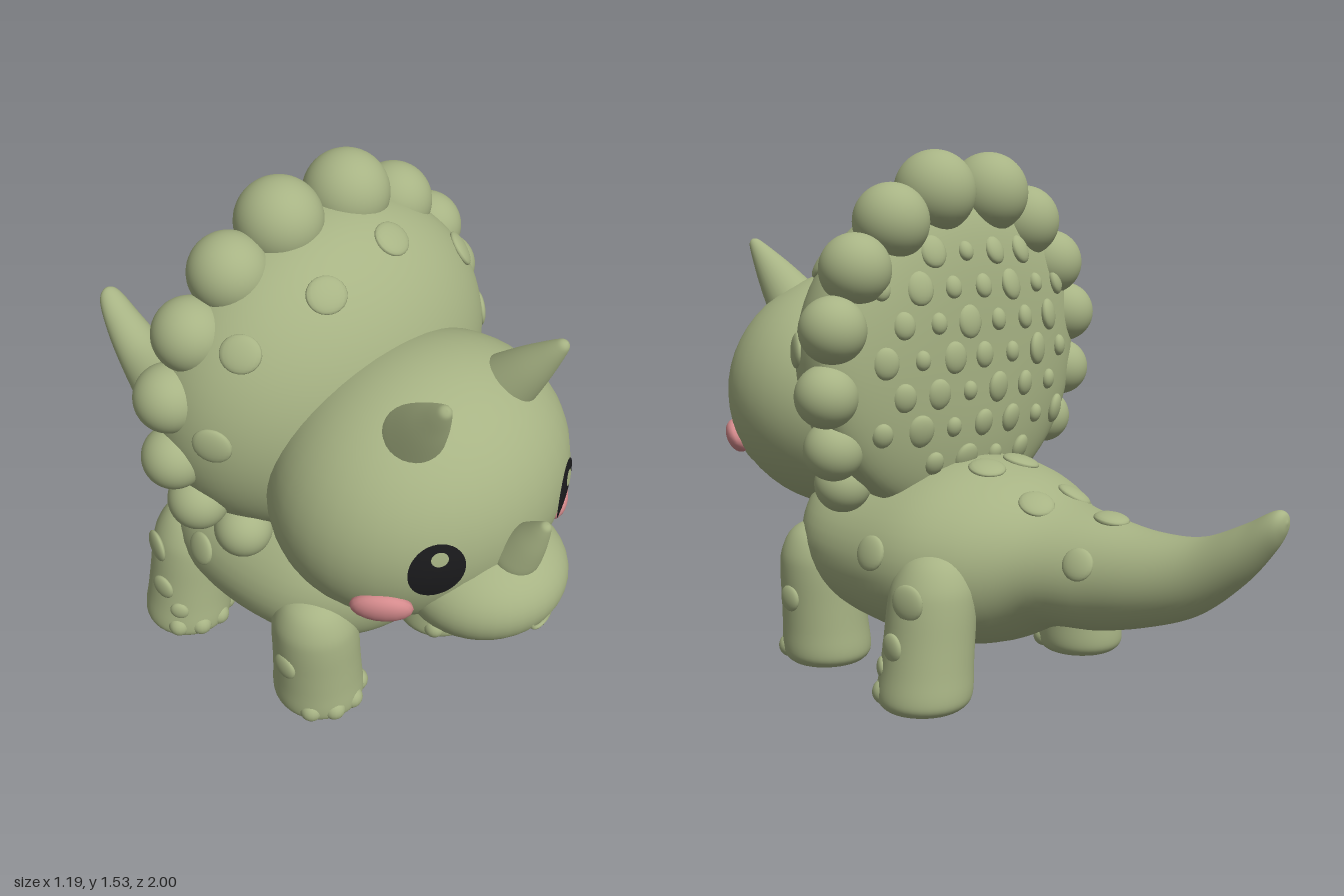
import * as THREE from 'three';
import { mergeVertices } from 'three/addons/utils/BufferGeometryUtils.js';

const V = (x, y, z) => new THREE.Vector3(x, y, z);

export function createModel() {
  const root = new THREE.Group();
  const material = (name, color) => {
    const m = new THREE.MeshStandardMaterial({ color });
    m.name = name;
    return m;
  };
  const green = material('sageGreen', 0xa7b384);
  const black = material('eyeBlack', 0x1b1b1d);
  const pink = material('cheekPink', 0xd48a8c);

  const add = (name, geometry, mat = green, parent = root) => {
    const mesh = new THREE.Mesh(geometry, mat);
    mesh.name = name;
    parent.add(mesh);
    return mesh;
  };
  const group = (name) => {
    const g = new THREE.Group();
    g.name = name;
    root.add(g);
    return g;
  };
  const ball = new THREE.SphereGeometry(1, 40, 28);
  const smallBall = new THREE.SphereGeometry(1, 18, 12);

  const ellipsoid = (name, centre, radii, parent = root, geometry = ball, mat = green) => {
    const mesh = add(name, geometry, mat, parent);
    mesh.position.copy(centre);
    mesh.scale.copy(radii);
    return mesh;
  };
  // Flattened bump whose thin axis follows the surface normal
  const bump = (name, centre, normal, rx, ry, depth, parent, mat = green) => {
    const mesh = ellipsoid(name, centre, V(rx, ry, depth), parent, smallBall, mat);
    mesh.lookAt(centre.clone().add(normal));
    return mesh;
  };

  // Body and tail: [z, centre y, half width, half height] from chest to tail tip
  const stations = [
    [0.58, 0.42, 0, 0], [0.56, 0.42, 0.15, 0.11], [0.5, 0.41, 0.27, 0.19], [0.38, 0.39, 0.36, 0.24],
    [0.2, 0.375, 0.4, 0.262], [0, 0.375, 0.4, 0.275], [-0.15, 0.375, 0.34, 0.245],
    [-0.3, 0.38, 0.22, 0.18], [-0.45, 0.375, 0.165, 0.158], [-0.6, 0.385, 0.13, 0.13],
    [-0.75, 0.42, 0.095, 0.105], [-0.88, 0.5, 0.07, 0.08], [-0.96, 0.57, 0.048, 0.055],
    [-0.99, 0.595, 0.028, 0.03], [-1, 0.6, 0, 0],
  ];
  const last = stations.length - 1;
  const spline = new THREE.CubicInterpolant(stations.map((s, i) => i), stations.flat(), 4);
  const bodyPoint = (u, cx, cy) => {
    const [z, y, w, h] = spline.evaluate(u);
    return V(w * cx, y + h * cy, z);
  };
  let body = new THREE.SphereGeometry(1, 48, 84).rotateX(Math.PI / 2);
  const p = body.attributes.position;
  for (let i = 0; i < p.count; i++) {
    const len = Math.hypot(p.getX(i), p.getY(i)) || 1;
    const u = Math.acos(THREE.MathUtils.clamp(p.getZ(i), -1, 1)) / Math.PI * last;
    const q = bodyPoint(u, p.getX(i) / len, p.getY(i) / len);
    p.setXYZ(i, q.x, q.y, q.z);
  }
  body.deleteAttribute('uv');
  body.deleteAttribute('normal');
  body = mergeVertices(body, 1e-5);
  body.computeVertexNormals();
  add('bodyAndTail', body);

  // Skin spots on the back and flanks: [station, angle from the top, radius]
  const spots = group('bodySpots');
  for (const [u, a, r] of [[5.5, 0.2, 0.055], [6.8, 0.36, 0.052], [8.1, 0, 0.05], [4.65, 1.4, 0.05], [8.1, 1.2, 0.045]]) {
    for (const s of a ? [1, -1] : [1]) {
      const at = (du, da) => bodyPoint(u + du, s * Math.sin(a + da), Math.cos(a + da));
      const along = at(-0.1, 0).sub(at(0.1, 0));
      const around = at(0, 0.1).sub(at(0, -0.1)).multiplyScalar(s);
      bump('bodySpot', at(0, 0), along.cross(around), r, r, 0.016, spots);
    }
  }

  // Legs: one leaning lathe with toes, placed four times
  const legProfile = [[0, 0.012], [0.085, 0.012], [0.1, 0.006], [0.115, 0.012], [0.13, 0.03], [0.134, 0.06],
    [0.13, 0.12], [0.127, 0.2], [0.125, 0.29], [0.117, 0.35], [0.09, 0.405], [0.05, 0.435], [0, 0.445]];
  const legCurve = new THREE.SplineCurve(legProfile.map(([r, y]) => new THREE.Vector2(r, y)));
  const legPoints = legCurve.getPoints(48).map((v) => v.setX(Math.max(0, v.x)));
  for (const [name, x, z, lean, legSpots] of [
    ['frontLeg', 0.247, 0.422, 0.07, [[0.22, 1.5, 0.04]]],
    ['hindLeg', 0.355, -0.09, -0.13, [[0.32, 1.75, 0.05], [0.19, 1.4, 0.04], [0.12, 0.9, 0.03]]],
  ]) {
    for (const s of [1, -1]) {
      const leg = group((s > 0 ? 'left ' : 'right ') + name);
      const shear = new THREE.Matrix4().set(1, lean * s, 0, x * s, 0, 1, 0, 0, 0, 0, 1, z, 0, 0, 0, 1);
      add('leg', new THREE.LatheGeometry(legPoints, 36).applyMatrix4(shear), green, leg);
      const onLeg = (y, a, r) => V(s * (x + lean * y + r * Math.sin(a)), y, z + r * Math.cos(a));
      for (const a of [-0.9, -0.3, 0.3, 0.9]) {
        ellipsoid('toe', onLeg(0.052, a, 0.113), V(0.034, 0.036, 0.034), leg, smallBall);
      }
      for (const [y, a, r] of legSpots) {
        bump('legSpot', onLeg(y, a, 0.125), V(s * Math.sin(a), 0, Math.cos(a)), r, r, 0.015, leg);
      }
    }
  }

  // Head and muzzle
  const headC = V(0, 0.81, 0.53), headR = V(0.44, 0.375, 0.36);
  ellipsoid('head', headC, headR);
  ellipsoid('muzzle', V(0, 0.642, 0.78), V(0.23, 0.152, 0.22));
  const smile = add('smile', new THREE.TorusGeometry(0.034, 0.006, 8, 20, Math.PI));
  smile.rotation.z = Math.PI;
  smile.position.set(0, 0.618, 0.988);

  // Thin oval laid on the face
  const facePatch = (name, x, y, rx, ry, lift, mat) => {
    const g = new THREE.RingGeometry(0, 1, 36, 6);
    const a = g.attributes.position;
    for (let i = 0; i < a.count; i++) {
      const px = x + rx * a.getX(i), py = y + ry * a.getY(i);
      const k = 1 - ((px - headC.x) / headR.x) ** 2 - ((py - headC.y) / headR.y) ** 2;
      a.setXYZ(i, px, py, headC.z + headR.z * Math.sqrt(k) + lift);
    }
    g.computeVertexNormals();
    add(name, g, mat);
  };

  // Blunt horn from base to tip
  const horn = (name, base, tip, radius) => {
    const len = base.distanceTo(tip);
    const pts = [[1, -0.15], [1, 0], [0.86, 0.22], [0.66, 0.48], [0.44, 0.72], [0.28, 0.88], [0.17, 0.96], [0, 1]]
      .map(([r, y]) => new THREE.Vector2(r * radius, y * len));
    const points = new THREE.SplineCurve(pts).getPoints(28).map((v) => v.setX(Math.max(0, v.x)));
    const mesh = add(name, new THREE.LatheGeometry(points, 28));
    mesh.position.copy(base);
    mesh.quaternion.setFromUnitVectors(V(0, 1, 0), tip.clone().sub(base).normalize());
  };
  horn('noseHorn', V(0, 0.775, 0.885), V(0, 0.922, 0.968), 0.068);

  for (const s of [1, -1]) {
    facePatch('eye', s * 0.236, 0.813, 0.066, 0.086, 0.006, black);
    facePatch('eyeHighlight', s * 0.236, 0.856, 0.02, 0.022, 0.01, green);
    bump('cheek', V(s * 0.325, 0.672, 0.738), V(s * 1.68, -0.9, 1.56), 0.082, 0.053, 0.034, root, pink);
    horn('browHorn', V(s * 0.165, 1.085, 0.65), V(s * 0.206, 1.277, 0.795), 0.083);
  }

  // Frill: domed toward the face, shallow at the back
  const frillC = V(0, 0.95, 0.12), frillR = V(0.53, 0.48, 0.36);
  const backDepth = (rho) => 0.12 * Math.sqrt(Math.max(0, 1 - rho ** 3));
  const frillPts = [];
  for (let i = 0; i <= 24; i++) {
    const rho = Math.sin(i / 24 * Math.PI / 2);
    frillPts.push(new THREE.Vector2(rho, -backDepth(rho) / frillR.z));
  }
  for (let i = 1; i <= 24; i++) {
    const a = i / 24 * Math.PI / 2;
    frillPts.push(new THREE.Vector2(i === 24 ? 0 : Math.cos(a), Math.sin(a)));
  }
  const frill = add('frill', new THREE.LatheGeometry(frillPts, 64).rotateX(Math.PI / 2));
  frill.position.copy(frillC);
  frill.scale.copy(frillR);

  // Round knobs along the frill edge: [x, y, z, radius]
  const knobs = group('frillKnobs');
  for (const [x, y, z, r] of [
    [0.115, 1.417, 0.085, 0.118], [0.285, 1.333, 0.09, 0.108], [0.418, 1.205, 0.095, 0.1],
    [0.498, 1.045, 0.1, 0.093], [0.506, 0.865, 0.12, 0.088], [0.456, 0.708, 0.15, 0.085], [0.36, 0.592, 0.22, 0.082],
  ]) {
    for (const s of [1, -1]) ellipsoid('frillKnob', V(x * s, y, z), V(r, r, r), knobs);
  }

  // Spots on the front of the frill
  const frillSpots = group('frillSpots');
  for (const [x, y] of [[-0.155, 1.325], [0.1, 1.37], [0.385, 1.22], [-0.385, 1.22], [0.485, 0.98], [-0.485, 0.98]]) {
    const dx = x / frillR.x, dy = (y - frillC.y) / frillR.y;
    const dz = Math.sqrt(Math.max(0, 1 - dx * dx - dy * dy));
    bump('frillSpot', V(x, y, frillC.z + dz * frillR.z),
      V(dx / frillR.x, dy / frillR.y, dz / frillR.z), 0.055, 0.05, 0.016, frillSpots);
  }

  // Staggered pebbles covering the back of the frill
  const pebbles = group('frillPebbles');
  for (let j = -4; j <= 4; j++) {
    for (let i = -4; i <= 4; i++) {
      const x = (i + (j & 1 ? 0.5 : 0)) * 0.125, y = j * 0.1;
      const rho = Math.hypot(x / frillR.x, y / frillR.y);
      if (rho > 0.83) continue;
      const r = 0.034 + 0.009 * Math.sin(i * 2.3 + j * 1.7);
      bump('pebble', V(x, frillC.y + y, frillC.z - backDepth(rho)),
        V(x * 0.8, y * 0.8, -0.6), r, r * 1.15, 0.02, pebbles);
    }
  }
  return root;
}
